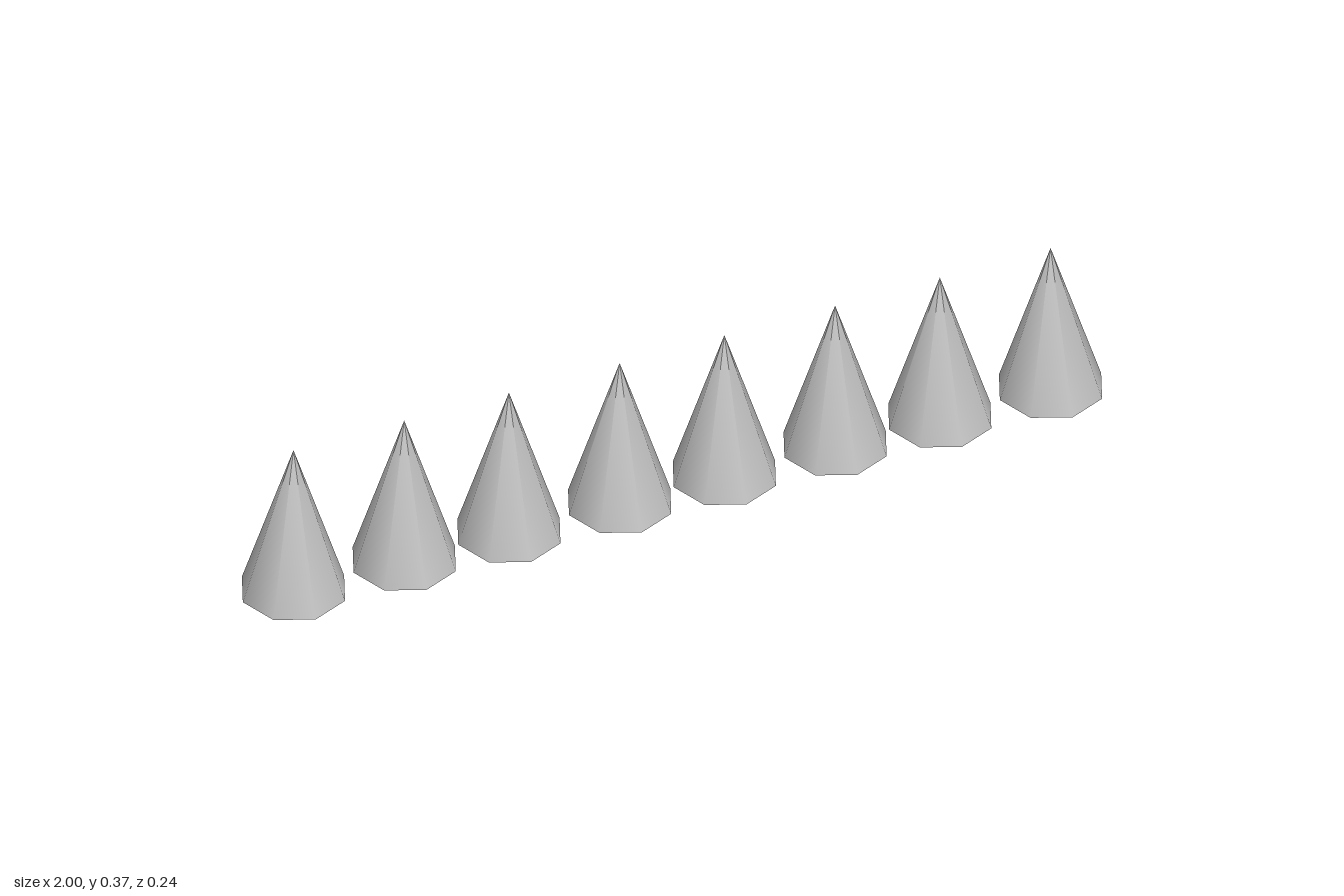
import * as THREE from 'three';

export function createModel() {
  const model = new THREE.Group();
  model.name = 'spikeRow';

  const steel = new THREE.MeshStandardMaterial({ color: 0xc0c0c0 });
  steel.name = 'steel grey';

  // One eight-sided spike with smooth sides and a closed base
  const radius = 0.118, height = 0.372;
  const spikeGeometry = new THREE.ConeGeometry(radius, height, 8);
  spikeGeometry.translate(0, height / 2, 0);

  // Row of spikes, mirrored about the centre, with slightly alternating gaps
  const offsets = [0.122, 0.38, 0.624, 0.882];
  for (const side of [-1, 1]) {
    offsets.forEach((x, i) => {
      const spike = new THREE.Mesh(spikeGeometry, steel);
      spike.name = `${side > 0 ? 'left' : 'right'}Spike${i + 1}`;
      spike.position.x = side * x;
      model.add(spike);
    });
  }
  return model;
}
